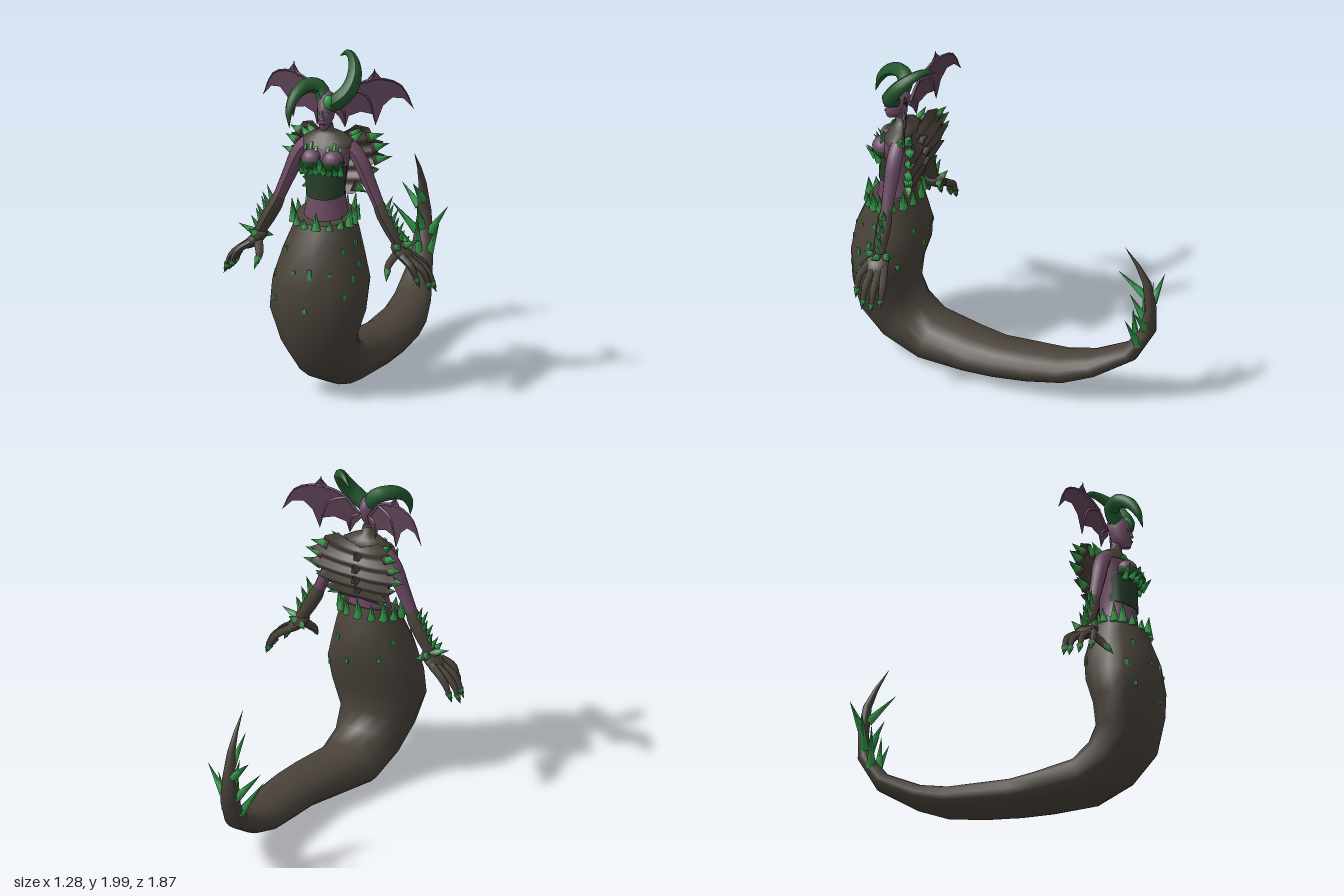
import * as THREE from 'three';

const mat = (name, color, side = THREE.FrontSide) => {
  const m = new THREE.MeshStandardMaterial({ color, side });
  m.name = name;
  return m;
};
const V = (a) => new THREE.Vector3(...a);
const lerp = THREE.MathUtils.lerp;

// One point of a loft; station = [outerY, outerZ, innerY, innerZ, xMin, xMax]
function ringPoint(st, a) {
  const [oy, oz, iy, iz, x0, x1] = st, c = Math.cos(a);
  return new THREE.Vector3((x0 + x1) / 2 + Math.sin(a) * (x1 - x0) / 2,
    (oy + iy) / 2 + c * (oy - iy) / 2, (oz + iz) / 2 + c * (oz - iz) / 2);
}

// Closed skin through stations listed from top to bottom, with sharp end caps
function loft(stations, n = 16) {
  const mid = ([oy, oz, iy, iz, x0, x1]) => {
    const y = (oy + iy) / 2, z = (oz + iz) / 2, x = (x0 + x1) / 2;
    return [y, z, y, z, x, x];
  };
  const first = stations[0], last = stations[stations.length - 1];
  const rows = [mid(first), first, ...stations, last, mid(last)];
  const pos = [], idx = [];
  rows.forEach((st, i) => {
    for (let j = 0; j < n; j++) {
      pos.push(...ringPoint(st, j / n * Math.PI * 2).toArray());
      if (i === rows.length - 1) continue;
      const a = i * n + j, b = i * n + (j + 1) % n;
      idx.push(a, a + n, b, b, a + n, b + n);
    }
  });
  const g = new THREE.BufferGeometry();
  g.setAttribute('position', new THREE.Float32BufferAttribute(pos, 3));
  g.setIndex(idx);
  g.computeVertexNormals();
  return g;
}

// Tube along points whose radius follows a list
function sweep(points, radii, segs = 14, sides = 8) {
  const curve = new THREE.CatmullRomCurve3(points.map(V));
  const g = new THREE.TubeGeometry(curve, segs, 1, sides);
  const p = g.attributes.position, v = new THREE.Vector3();
  for (let i = 0; i < p.count; i++) {
    const t = Math.floor(i / (sides + 1)) / segs, f = t * (radii.length - 1);
    const k = Math.min(Math.floor(f), radii.length - 2);
    const c = curve.getPointAt(t);
    v.fromBufferAttribute(p, i).sub(c).multiplyScalar(lerp(radii[k], radii[k + 1], f - k)).add(c);
    p.setXYZ(i, v.x, v.y, v.z);
  }
  g.computeVertexNormals();
  return g;
}

export function createModel() {
  const model = new THREE.Group();
  model.name = 'serpentWoman';
  const scale = mat('dark scale', 0x49423a), skin = mat('purple skin', 0x6d4b64);
  const green = mat('bright green', 0x35994a), hornMat = mat('horn green', 0x23582f);
  const cloth = mat('bodice green', 0x263f29), shell = mat('back shell', 0x473f37, THREE.DoubleSide);
  const web = mat('wing purple', 0x5c4154, THREE.DoubleSide), lipMat = mat('dark purple', 0x3f2a3c);

  const add = (name, geo, m) => {
    const mesh = new THREE.Mesh(geo, m);
    mesh.name = name;
    model.add(mesh);
    return mesh;
  };
  const spike = (name, base, tip, r, m = green, r2 = 0) => {
    const a = V(base), d = V(tip).sub(a), len = d.length();
    const mesh = add(name, new THREE.CylinderGeometry(r2, r, len, 5), m);
    mesh.position.copy(a).addScaledVector(d, 0.5);
    mesh.quaternion.setFromUnitVectors(new THREE.Vector3(0, 1, 0), d.normalize());
  };
  // Dark thorn with a long green point
  const tipped = (name, base, tip, r, split) => {
    const m = V(base).lerp(V(tip), split).toArray();
    spike(name + 'Root', base, m, r, scale, r * (1 - split));
    spike(name + 'Point', m, tip, r * (1 - split));
  };

  // Serpent body and tail
  const body = [
    [1.03, .83, 1.12, .54, -.17, .17], [.98, .85, .99, .50, -.20, .195],
    [.83, .91, .87, .475, -.255, .23], [.66, .935, .72, .49, -.305, .275],
    [.50, .93, .57, .54, -.315, .265], [.27, .89, .44, .55, -.25, .20],
    [.10, .74, .35, .50, -.205, .185], [.005, .50, .28, .41, -.17, .20],
    [.03, .20, .267, .16, -.09, .255], [.05, 0, .265, 0, -.04, .27],
    [.07, -.20, .27, -.20, -.035, .265], [.10, -.42, .27, -.38, -.03, .235],
    [.17, -.60, .30, -.55, -.03, .195]];
  const tail = [[.31, -.82, .39, -.75, -.03, .13], [.51, -.93, .50, -.83, -.02, .10],
    [.68, -.93, .66, -.87, 0, .08], [.84, -.90, .83, -.85, .015, .06],
    [.95, -.83, .93, -.81, .025, .05], [1.05, -.74, 1.05, -.74, .035, .035]];
  add('serpentBody', loft([...body, ...tail]), scale);

  // Green flecks on the body: [station, angle, height]
  const flecks = [[2.4, 0, .06], [3.7, -.06, .025], [2.4, .45, .02], [2.4, -.4, .02], [1.6, .8, .03],
    [2.6, 1, .04], [3.2, .75, .03], [2.2, 1.3, .035], [1.4, 1.3, .03], [1.7, -.9, .03], [2.7, -1.1, .04],
    [3.5, -.9, .03], [1.7, 2.5, .03], [2.3, -2.6, .03], [2.6, 2.9, .03], [3.1, 2.2, .03], [1.5, -2.1, .03]];
  for (const [t, a, h] of flecks) {
    const k = Math.floor(t), st = body[k].map((v, i) => lerp(v, body[k + 1][i], t - k));
    const m = add('bodyFleck', new THREE.BoxGeometry(.022, h, .009), green);
    const p = ringPoint(st, a);
    m.position.copy(p);
    m.lookAt(p.x * 2 - (st[4] + st[5]) / 2, p.y, p.z * 2 - (st[1] + st[3]) / 2);
  }

  // Tail thorns
  for (const [b, t] of [
    [[0, .43, -.84], [-.13, .64, -.79]], [[.09, .43, -.84], [.17, .64, -.79]],
    [[0, .55, -.88], [-.14, .72, -.845]], [[.08, .55, -.88], [.20, .72, -.86]],
    [[.01, .69, -.90], [-.11, .82, -.93]],
    [[.04, .74, -.87], [.04, .88, -.70]], [[.04, .58, -.86], [.04, .735, -.77]],
    [[.04, .42, -.81], [.04, .64, -.79]]]) spike('tailThorn', b, t, .028);

  // Waist thorns around the rim: [angle, height, radius], mirrored
  const rim = [1.01, .838, 1.06, .53, -.183, .183];
  for (const [a, h, r] of [[0, .11, .03], [.42, .06, .024], [.8, .09, .024], [1.15, .13, .03], [1.45, .12, .028],
    [1.9, .09, .026], [2.3, .13, .03], [2.7, .1, .026], [Math.PI, .13, .03]]) {
    for (const s of a % Math.PI ? [1, -1] : [1]) {
      const p = ringPoint(rim, a * s);
      spike('waistThorn', p.toArray(), [p.x * 1.08, p.y + h, .685 + (p.z - .685) * 1.06], r);
    }
  }

  // Torso, from the collar down; the bodice covers only its front
  add('collar', loft([[1.60, .69, 1.60, .62, -.032, .032], [1.56, .68, 1.56, .60, -.036, .036],
    [1.54, .69, 1.54, .57, -.09, .09], [1.50, .715, 1.51, .55, -.15, .15],
    [1.465, .735, 1.46, .55, -.15, .15]]), scale);
  add('torso', loft([[1.47, .73, 1.47, .55, -.145, .145], [1.40, .755, 1.40, .55, -.135, .135],
    [1.33, .76, 1.33, .55, -.122, .122], [1.22, .76, 1.22, .555, -.107, .107],
    [1.15, .768, 1.15, .555, -.112, .112], [1.02, .78, 1.02, .55, -.145, .145]]), skin);
  add('bodice', loft([[1.36, .768, 1.36, .585, -.130, .130], [1.27, .770, 1.28, .59, -.118, .118],
    [1.17, .775, 1.22, .59, -.115, .115]]), cloth);

  // Head
  add('head', loft([[1.79, .66, 1.79, .64, -.01, .01], [1.77, .69, 1.77, .61, -.035, .035],
    [1.73, .725, 1.73, .59, -.052, .052], [1.68, .735, 1.68, .60, -.052, .052],
    [1.63, .74, 1.63, .62, -.044, .044], [1.60, .742, 1.60, .65, -.033, .033],
    [1.57, .735, 1.57, .69, -.014, .014]]), skin);
  spike('nose', [0, 1.635, .738], [0, 1.69, .738], .016, skin);
  add('lips', new THREE.BoxGeometry(.026, .009, .008), lipMat).position.set(0, 1.61, .741);
  const boss = add('hornBoss', new THREE.SphereGeometry(.04, 10, 8), green);
  boss.position.set(.025, 1.735, .70);
  boss.scale.set(.8, 1.1, .9);

  // Horns: one rises backward, the other bows forward
  add('risingHorn', sweep([[.01, 1.70, .67], [.07, 1.74, .68], [.13, 1.80, .66], [.15, 1.88, .61],
    [.12, 1.95, .54], [.065, 1.975, .48], [0, 1.94, .435]], [.042, .05, .048, .042, .032, .02, .001], 22), hornMat);
  add('bowingHorn', sweep([[-.01, 1.72, .66], [-.05, 1.80, .64], [-.11, 1.82, .69], [-.15, 1.78, .78],
    [-.165, 1.70, .84], [-.155, 1.61, .865]], [.045, .047, .043, .035, .023, .001], 20), hornMat);

  // Ridged back shell with upswept plates
  const plate = new THREE.PlaneGeometry(2, 1, 14, 20), pp = plate.attributes.position;
  const widths = [.12, .17, .21, .25, .23, .13];
  for (let i = 0; i < pp.count; i++) {
    const u = pp.getX(i), v = pp.getY(i) + .5, f = Math.min(v * 5, 4.999), k = Math.floor(f);
    const saw = [0, .35, .7, 1][Math.round(v * 20) % 4];
    const w = lerp(widths[k], widths[k + 1], f - k) + .045 * saw;
    pp.setXYZ(i, u * w, 1.16 + .35 * v + .06 * u * u * v,
      .565 - .05 * Math.sin(v * Math.PI) - .028 * saw - .018 * Math.abs(u) * (.5 + v));
  }
  plate.computeVertexNormals();
  add('backShell', plate, shell);
  for (let i = 0; i < 4; i++) {
    const y = 1.24 + i * .07, z = .53 - .03 * Math.sin(i);
    spike('spineThorn', [0, y, z], [0, y + .045, z - .045], .03, scale);
  }

  for (const s of [1, -1]) {
    const P = ([x, y, z]) => [x * s, y, z];
    const sp = (name, b, t, r, m) => spike(name, P(b), P(t), r, m);

    // Shell side thorns and shoulder thorns
    for (const [b, t] of [[[.19, 1.49, .52], [.285, 1.515, .48]], [[.23, 1.36, .51], [.335, 1.385, .48]],
      [[.22, 1.43, .51], [.315, 1.46, .475]], [[.18, 1.27, .53], [.265, 1.31, .50]],
      [[.12, 1.21, .55], [.20, 1.17, .53]], [[.12, 1.48, .60], [.195, 1.55, .57]],
      [[.11, 1.50, .56], [.17, 1.555, .53]]]) tipped('sideThorn', P(b), P(t), .035, .2);

    // Bust with cup and thorns
    const bust = add('bust', new THREE.SphereGeometry(.062, 14, 10), skin);
    bust.position.set(.063 * s, 1.40, .735);
    const cup = add('cup', new THREE.SphereGeometry(.068, 14, 7, 0, Math.PI * 2, Math.PI * .5, Math.PI * .5), hornMat);
    cup.position.copy(bust.position);
    for (const [b, t] of [[[.115, 1.32, .74], [.125, 1.42, .78]], [[.09, 1.33, .77], [.095, 1.40, .83]],
      [[.055, 1.33, .78], [.055, 1.38, .84]], [[.022, 1.33, .775], [.03, 1.40, .81]]]) sp('bustThorn', b, t, .02);
    for (const [x, h] of [[.07, .075], [.035, .03], [.105, .03]]) {
      const strap = add('chestStrap', new THREE.BoxGeometry(.018, h, .009), green);
      strap.position.set(x * s, 1.465, .748 - x * x * 2);
      strap.rotation.set(-.5, x * 4 * s, 0);
    }
    const eye = add('eye', new THREE.BoxGeometry(.02, .008, .008), green);
    eye.position.set(.024 * s, 1.675, .728);
    eye.rotation.set(0, .4 * s, .3 * s);

    // Arm
    add('upperArm', sweep([[.12, 1.47, .62], [.17, 1.42, .62], [.24, 1.27, .62], [.31, 1.11, .62]].map(P),
      [.045, .048, .04, .034]), skin);
    add('forearm', sweep([[.285, 1.17, .62], [.32, 1.09, .62], [.37, 1.0, .62], [.42, .91, .62]].map(P),
      [.03, .044, .043, .034]), scale);
    for (let i = 0; i < 6; i++) {
      const x = .338 + i * .017, y = 1.08 - i * .031;
      sp('forearmThorn', [x, y, .62], [x + .044, y + .11 - i * .006, .62 + (i % 2 ? .02 : -.015)], .022);
    }

    // Hand with wrist thorns, fingers and claws
    const palm = add('palm', new THREE.SphereGeometry(1, 12, 8), scale);
    palm.scale.set(.085, .036, .07);
    palm.position.set(.445 * s, .86, .62);
    palm.rotation.z = -.7 * s;
    for (const [t, z] of [[[.55, .945, .62], .62], [[.46, .94, .54], .58], [[.46, .94, .70], .66],
      [[.36, .87, .55], .59]]) tipped('wristThorn', P([.42, .89, z]), P(t), .034, .35);
    for (const tip of [[.57, .705, .70], [.62, .67, .645], [.63, .66, .59], [.60, .68, .545]]) {
      const z = lerp(.62, tip[2], .65), knuckle = [tip[0] - .045, tip[1] + .10, tip[2]];
      add('finger', sweep([[.46, .85, z], knuckle, tip].map(P), [.024, .022, .012], 8, 6), scale);
      sp('claw', [tip[0] - .014, tip[1] + .035, tip[2]], [tip[0] + .01, tip[1] - .025, tip[2]], .022);
    }
    add('thumb', sweep([[.42, .86, .65], [.39, .80, .71], [.395, .75, .75]].map(P), [.028, .024, .013], 8, 6), scale);
    sp('claw', [.393, .78, .73], [.40, .72, .775], .022);

    // Webbed head wing, swept back from the skull
    const zAt = (x) => .615 - .34 * x;
    const outline = [[.02, 1.66], [.06, 1.74], [.10, 1.80], [.20, 1.84], [.245, 1.90], [.28, 1.855],
      [.385, 1.82], [.43, 1.75], [.455, 1.675], [.40, 1.735], [.34, 1.74], [.29, 1.69], [.25, 1.575],
      [.235, 1.64], [.17, 1.655], [.105, 1.63], [.085, 1.56], [.055, 1.62]];
    const wing = new THREE.ShapeGeometry(new THREE.Shape(outline.map(([x, y]) => new THREE.Vector2(x * s, y))));
    const wp = wing.attributes.position;
    for (let i = 0; i < wp.count; i++) wp.setZ(i, zAt(Math.abs(wp.getX(i))));
    wing.computeVertexNormals();
    add('headWing', wing, web);
    for (const rib of [[[.03, 1.68], [.12, 1.80], [.26, 1.85], [.385, 1.815], [.455, 1.675]],
      [[.10, 1.79], [.20, 1.75], [.25, 1.58]], [[.03, 1.69], [.075, 1.66], [.086, 1.565]],
      [[.20, 1.83], [.235, 1.86], [.245, 1.91]]])
      add('wingRib', sweep(rib.map(([x, y]) => P([x, y, zAt(x)])), [.01, .007, .002], 12, 5), skin);
  }

  // Centre chest ornament
  spike('chestThorn', [0, 1.34, .765], [0, 1.45, .80], .024);
  return model;
}
